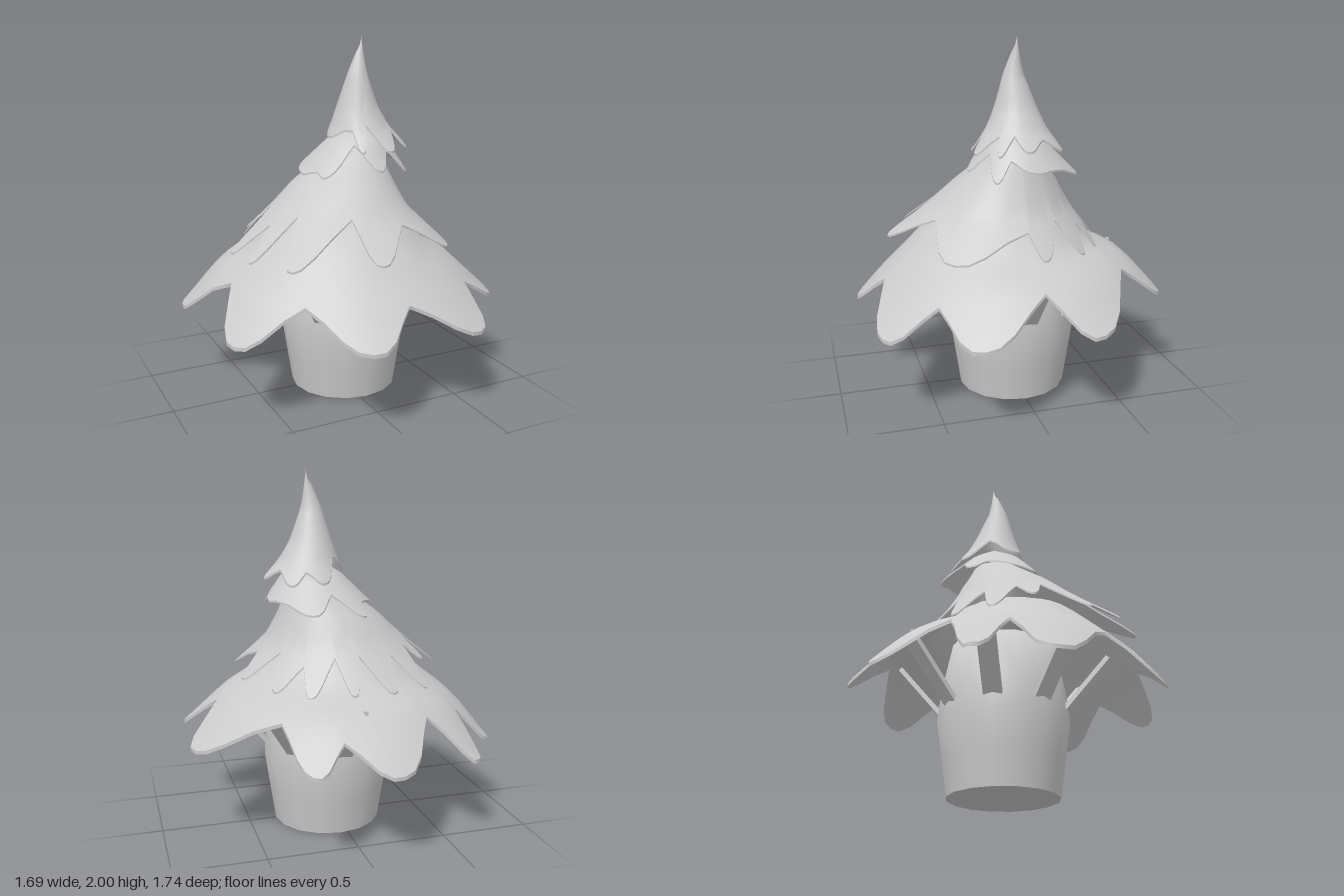
import * as THREE from 'three';

const material = new THREE.MeshStandardMaterial({ color: 0xcccccc, side: THREE.DoubleSide });

// Ragged outline (x, z) from a loop of alternating notches and lobe tips;
// every lobe is a blunt arch with flared feet from one notch to the next
function lobedOutline(loop) {
  const points = [];
  loop.forEach(([ax, az], i) => {
    if (i % 2) return;
    const [tx, tz] = loop[i + 1], [bx, bz] = loop[(i + 2) % loop.length];
    const mx = (ax + bx) / 2, mz = (az + bz) / 2;
    for (let u = -1; u < 1; u += 0.25) {
      const rise = (1 - Math.abs(u) ** 2.5) ** 1.5;
      points.push([mx + (bx - mx) * u + (tx - mx) * rise, mz + (bz - mz) * u + (tz - mz) * rise]);
    }
  });
  return points;
}

// Height of a leaning cone surface over the point (x, z)
function heightAt(sections, x, z) {
  const gap = ([, cx, cz, r]) => Math.hypot(x - cx, z - cz) - r;
  let i = 1;
  while (i < sections.length - 1 && gap(sections[i]) > 0) i++;
  const a = gap(sections[i - 1]), b = gap(sections[i]);
  const s = a - b > 1e-6 ? a / (a - b) : 0;
  return THREE.MathUtils.lerp(sections[i - 1][0], sections[i][0], Math.min(s, 1.3));
}

// Leaf cone with an underside and a rim; sections run from the tip down
// as height, centre x, centre z, radius
function leafGeometry(thickness, sections, loop) {
  const [, cx, cz] = sections[0];
  const angle = ([x, z]) => Math.atan2(x - cx, z - cz);
  const points = lobedOutline(loop).sort((p, q) => angle(p) - angle(q));

  const n = points.length, rings = 18, position = [], index = [];
  const addRing = (t, drop) => {
    for (const [px, pz] of points) {
      const x = cx + (px - cx) * t, z = cz + (pz - cz) * t;
      position.push(x, heightAt(sections, x, z) - drop, z);
    }
  };
  const join = (a, b) => {
    for (let j = 0; j < n; j++) {
      const k = (j + 1) % n;
      index.push(a * n + j, b * n + j, b * n + k, a * n + j, b * n + k, a * n + k);
    }
  };
  for (let i = 0; i <= rings; i++) addRing((i / rings) ** 1.4, 0);
  for (let i = rings; i >= 0; i--) addRing((i / rings) ** 1.4, thickness);
  addRing(1, 0);
  addRing(1, thickness);
  for (let i = 0; i < rings; i++) {
    join(i, i + 1);
    join(rings + 1 + i, rings + 2 + i);
  }
  join(2 * rings + 2, 2 * rings + 3);

  const geometry = new THREE.BufferGeometry();
  geometry.setAttribute('position', new THREE.Float32BufferAttribute(position, 3));
  geometry.setIndex(index);
  geometry.computeVertexNormals();
  return geometry;
}

export function createModel() {
  const model = new THREE.Group();
  const add = (name, geometry, parent = model) => {
    const mesh = new THREE.Mesh(geometry, material);
    mesh.name = name;
    parent.add(mesh);
    return mesh;
  };

  // Barrel-shaped trunk and its base
  const profile = [[0.305, 0], [0.335, 0.2], [0.365, 0.4], [0.345, 0.58], [0.29, 0.85], [0, 0.86]];
  const trunk = add('trunk', new THREE.LatheGeometry(profile.map(([r, y]) => new THREE.Vector2(r, y)), 16));
  trunk.position.x = 0.04;
  const base = add('trunkBase', new THREE.CircleGeometry(0.305, 16));
  base.rotation.x = Math.PI / 2;
  base.position.x = 0.04;

  // Eight sloping struts between trunk and roof
  const struts = new THREE.Group();
  struts.name = 'struts';
  struts.position.x = 0.04;
  model.add(struts);
  for (let i = 0; i < 8; i++) {
    const arm = new THREE.Group();
    arm.name = 'strutArm';
    arm.rotation.y = (i * Math.PI) / 4;
    struts.add(arm);
    const strut = add('strut', new THREE.BoxGeometry(0.1, 0.375, 0.025), arm);
    strut.position.set(0, 0.612, 0.463);
    strut.rotation.x = Math.atan2(0.25, 0.29);
  }

  // Small peg poking through the back of the roof
  add('peg', new THREE.BoxGeometry(0.018, 0.05, 0.02)).position.set(0, 0.775, -0.61);

  // Wide eaves
  add('lowerLeafRoof', leafGeometry(0.02,
    [[1.15, 0, 0.03, 0], [1, -0.02, 0.05, 0.36], [0.87, -0.03, 0.06, 0.49],
      [0.77, 0, 0, 0.645], [0.68, 0, 0, 0.74], [0.54, 0.02, 0, 0.87]],
    [[-0.34, -0.59], [-0.12, -0.865], [0.15, -0.72], [0.33, -0.8], [0.42, -0.52], [0.83, -0.27],
      [0.67, 0], [0.82, 0.35], [0.53, 0.52], [0.45, 0.8], [0.05, 0.73], [-0.22, 0.855],
      [-0.45, 0.56], [-0.78, 0.42], [-0.68, 0.11], [-0.84, -0.31], [-0.58, -0.41], [-0.62, -0.66]]));

  // Spiky middle layer
  add('middleLeafRoof', leafGeometry(0.01,
    [[1.45, 0.12, 0, 0], [1.38, 0.11, 0, 0.14], [1.2, 0.02, 0.03, 0.29],
      [1.07, -0.02, 0.06, 0.39], [0.88, -0.05, 0.12, 0.6]],
    [[-0.12, 0.42], [-0.08, 0.69], [0.16, 0.46], [0.48, 0.42], [0.43, 0.02], [0.53, -0.06],
      [0.34, -0.16], [0.41, -0.3], [0.25, -0.31], [0.24, -0.44], [0.09, -0.35], [0.02, -0.5],
      [-0.04, -0.36], [-0.2, -0.49], [-0.23, -0.32], [-0.42, -0.4], [-0.35, -0.2], [-0.48, -0.18],
      [-0.38, -0.06], [-0.65, 0.04], [-0.46, 0.13], [-0.63, 0.28], [-0.35, 0.24], [-0.5, 0.52]]));

  // Small collar under the cap
  add('upperLeafRoof', leafGeometry(0.01,
    [[1.55, 0.14, 0, 0], [1.43, 0.12, 0, 0.17], [1.28, 0.1, -0.02, 0.3]],
    [[-0.1, -0.22], [-0.08, -0.32], [0.08, -0.25], [0.2, -0.33], [0.34, -0.16], [0.38, -0.03],
      [0.32, 0.08], [0.35, 0.17], [0.22, 0.17], [0.13, 0.27], [0.03, 0.15], [-0.13, 0.18],
      [-0.17, 0.1], [-0.21, -0.04]]));

  // Pointed, leaning cap
  add('leafCap', leafGeometry(0.012,
    [[2, 0.15, 0, 0], [1.8, 0.12, 0.012, 0.055], [1.62, 0.125, 0, 0.115],
      [1.51, 0.14, 0, 0.165], [1.42, 0.16, 0, 0.23]],
    [[0.03, -0.11], [0.1, -0.23], [0.2, -0.19], [0.29, -0.21], [0.32, -0.09], [0.39, 0],
      [0.31, 0.06], [0.36, 0.15], [0.27, 0.13], [0.21, 0.25], [0.1, 0.15], [0.05, 0.23],
      [0.03, 0.13], [-0.05, 0]]));

  return model;
}
